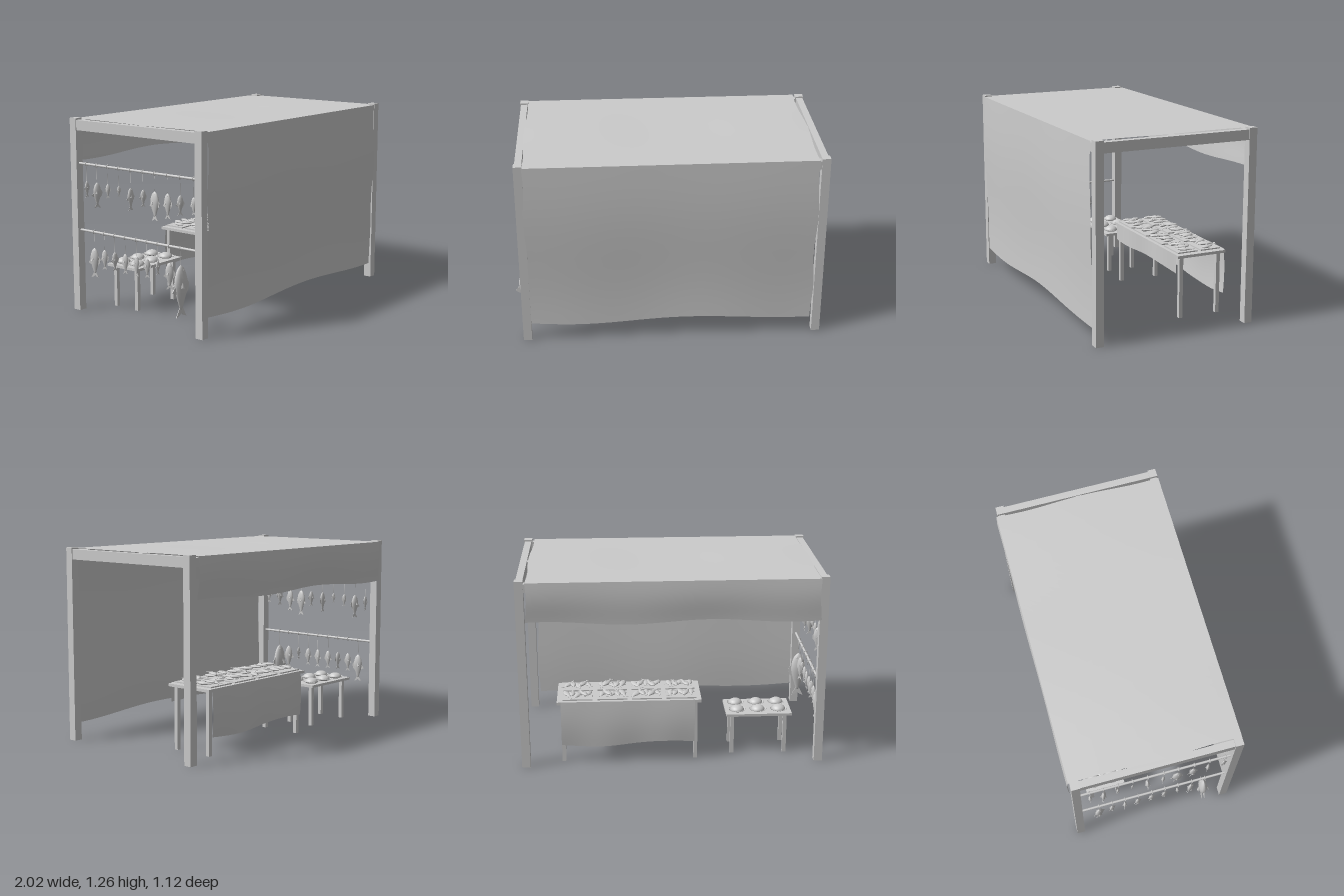
import * as THREE from 'three';
import { mergeVertices } from 'three/addons/utils/BufferGeometryUtils.js';

const grey = new THREE.MeshStandardMaterial({ color: 0xcccccc });
const thin = new THREE.MeshStandardMaterial({ color: 0xcccccc, side: THREE.DoubleSide });

function add(parent, name, geo, x = 0, y = 0, z = 0, mat = grey) {
  const m = new THREE.Mesh(geo, mat);
  m.name = name;
  m.position.set(x, y, z);
  parent.add(m);
  return m;
}
const box = (p, name, w, h, d, x, y, z) => add(p, name, new THREE.BoxGeometry(w, h, d), x, y, z);

// Cloth panel: place(u, v) gives the point at u across and v down
function cloth(parent, name, place) {
  const g = new THREE.PlaneGeometry(1, 1, 32, 16);
  const p = g.attributes.position, uv = g.attributes.uv;
  for (let i = 0; i < p.count; i++) p.setXYZ(i, ...place(uv.getX(i), 1 - uv.getY(i)));
  g.computeVertexNormals();
  return add(parent, name, g, 0, 0, 0, thin);
}

// Unit fish: nose at the origin, tail at y = -1, flat in the x direction
function fishParts() {
  const profile = [[0, 0], [0.055, -0.04], [0.11, -0.13], [0.15, -0.28], [0.15, -0.42],
    [0.11, -0.6], [0.06, -0.75], [0.035, -0.84], [0, -0.86]];
  const body = new THREE.LatheGeometry(
    new THREE.SplineCurve(profile.map(([r, y]) => new THREE.Vector2(r, y))).getPoints(14).reverse()
      .map(v => v.setX(Math.max(v.x, 0))), 12);
  body.scale(0.55, 1, 1);
  const fin = pts => {
    const s = new THREE.Shape(pts.map(([a, b]) => new THREE.Vector2(a, b)));
    return new THREE.ExtrudeGeometry(s, { depth: 0.014, bevelEnabled: false })
      .translate(0, 0, -0.007).rotateY(-Math.PI / 2);
  };
  return {
    body,
    tailFin: fin([[-0.03, -0.8], [-0.13, -1], [-0.05, -0.97], [0, -0.92], [0.05, -0.97], [0.13, -1], [0.03, -0.8]]),
    dorsalFin: fin([[0.12, -0.22], [0.21, -0.38], [0.19, -0.5], [0.09, -0.62]]),
    bellyFin: fin([[-0.13, -0.36], [-0.23, -0.5], [-0.17, -0.54], [-0.1, -0.56]]),
    sideFin: new THREE.ConeGeometry(0.05, 0.17, 4).scale(0.25, 1, 1).rotateX(0.3),
    eye: new THREE.SphereGeometry(0.018, 8, 6),
  };
}
const parts = fishParts();

function makeFish(name, length, plump = 1) {
  const f = new THREE.Group();
  f.name = name;
  add(f, 'fishBody', parts.body).scale.z = plump;
  for (const n of ['tailFin', 'dorsalFin', 'bellyFin']) add(f, n, parts[n], 0, 0, 0, thin);
  for (const s of [-1, 1]) {
    add(f, 'sideFin', parts.sideFin, s * 0.085, -0.35, -0.03).rotation.z = s * 0.35;
    add(f, 'eye', parts.eye, s * 0.042, -0.1, 0.03);
  }
  f.scale.setScalar(length);
  return f;
}

function table(parent, name, x0, x1, z0, z1, top, thick, leg, inset) {
  const t = new THREE.Group();
  t.name = name;
  parent.add(t);
  box(t, 'tableTop', x1 - x0, thick, z1 - z0, (x0 + x1) / 2, top - thick / 2, (z0 + z1) / 2);
  for (const x of [x0 + inset, x1 - inset])
    for (const z of [z0 + inset, z1 - inset])
      box(t, 'tableLeg', leg, top - thick, leg, x, (top - thick) / 2, z);
  return t;
}

export function createModel() {
  const model = new THREE.Group();
  model.name = 'marketStall';

  // Timber frame
  const frame = new THREE.Group();
  frame.name = 'frame';
  model.add(frame);
  const xL = -0.942, xR = 0.972, zP = 0.518;
  for (const x of [xL, xR]) {
    for (const z of [-zP, zP]) box(frame, 'post', 0.055, 1.26, 0.053, x, 0.63, z);
    box(frame, 'sideBeam', 0.045, 0.065, 1, x, 1.217, 0);
  }
  for (const z of [-zP, 0, zP]) box(frame, 'longBeam', 1.9, 0.055, 0.045, 0.015, 1.215, z);

  // Awning: roof, long front sheet and short back valance
  const awning = new THREE.Group();
  awning.name = 'awning';
  model.add(awning);
  const edge = (u, k) => -0.92 + 1.855 * u + (u > 0.5 ? -1 : 1) * 0.007 * Math.sin(k) * Math.abs(2 * u - 1) ** 6;
  cloth(awning, 'roofCloth', (u, v) =>
    [edge(u, v * 9), 1.252 + 0.003 * Math.sin(u * 9) * Math.sin(v * 3.14), -0.553 + 1.1 * v]);
  cloth(awning, 'frontCloth', (u, v) => {
    const low = 0.128 + 0.016 * Math.sin(u * 8 - 3.1) - 0.008 * u;
    return [edge(u, v * 14), 1.252 + (low - 1.252) * v,
      0.547 + 0.008 * Math.sin(v * 5.5) + 0.004 * Math.sin(u * 11) * v];
  });
  cloth(awning, 'backValance', (u, v) => {
    const low = 0.985 + 0.012 * Math.sin(u * 11 + 1);
    return [edge(1 - u, v * 4), 1.252 + (low - 1.252) * v,
      -0.553 - 0.006 * Math.sin(v * 4) + 0.004 * Math.sin(u * 12) * v];
  });

  // Poles with hanging fish: [z, length, turn, plumpness]
  const rows = [
    [0.97, 0.86, [[0.46, 0.11, 0.2], [0.355, 0.125, 1.0], [0.255, 0.16, 0.1], [0.15, 0.185, 0, 1.15],
      [0.055, 0.11, 1.0], [-0.05, 0.145, 1.5], [-0.15, 0.07, 0.9], [-0.245, 0.09, 0.7],
      [-0.34, 0.165, 1.1], [-0.43, 0.105, 1.5]]],
    [0.535, 0.43, [[0.355, 0.325, 1.5], [0.265, 0.17, 0.5], [0.17, 0.09, 1.5], [0.08, 0.125, 0.4],
      [-0.01, 0.13, 0.1], [-0.105, 0.13, 0.3], [-0.195, 0.125, 1.2], [-0.285, 0.13, 0.4],
      [-0.375, 0.195, 0.3]]],
  ];
  const ring = new THREE.TorusGeometry(0.011, 0.0035, 6, 12);
  for (const [poleY, topY, list] of rows) {
    const rack = new THREE.Group();
    rack.name = 'fishRack';
    model.add(rack);
    add(rack, 'pole', new THREE.CylinderGeometry(0.008, 0.008, 1, 12).rotateX(Math.PI / 2), xL, poleY, 0);
    for (const [z, length, turn, plump] of list) {
      add(rack, 'knot', ring, xL, poleY, z);
      const drop = poleY - topY;
      add(rack, 'string', new THREE.CylinderGeometry(0.0012, 0.0012, drop, 5), xL, poleY - drop / 2, z);
      const f = makeFish('hangingFish', length, plump);
      f.position.set(xL, topY, z);
      f.rotation.y = turn;
      rack.add(f);
    }
  }

  // Large table with its cloth
  const big = table(model, 'largeTable', -0.175, 0.765, -0.48, -0.135, 0.425, 0.018, 0.026, 0.038);
  cloth(big, 'tableClothBack', (u, v) =>
    [0.74 - 0.87 * u, 0.427 - (0.3 + 0.015 * Math.sin(u * 6)) * v, -0.483 - 0.008 * Math.sin(v * 3) + 0.003 * Math.sin(u * 14) * v]);
  cloth(big, 'tableClothFront', (u, v) =>
    [-0.13 + 0.87 * u, 0.427 - (0.115 + 0.007 * Math.sin(u * 8)) * v, -0.133 + 0.003 * Math.sin(u * 12) * v]);
  cloth(big, 'tableClothTop', (u, v) => [-0.13 + 0.87 * u, 0.428, -0.483 + 0.35 * v]);

  // Trays of fish lying on the large table
  for (let i = 0; i < 4; i++) for (let j = 0; j < 2; j++) {
    const x = -0.045 + i * 0.225, z = -0.39 + j * 0.165;
    box(big, 'tray', 0.195, 0.008, 0.14, x, 0.432, z);
    for (let k = 0; k < 5; k++) {
      const f = makeFish('trayFish', 0.105 + 0.012 * ((i + k) % 3), 1.1);
      const a = 0.5 * Math.sin(i * 5 + j * 3 + k * 2.3) + (k % 2) * Math.PI;
      const cx = x + (k - 2) * 0.034, cz = z + 0.012 * Math.sin(k * 4 + i);
      f.position.set(cx - 0.055 * Math.sin(a), 0.446 + (k % 2) * 0.008, cz + 0.055 * Math.cos(a));
      f.rotation.set(Math.PI / 2, 0, a, 'YXZ');
      // Lay the fish on its flank, pointing along the tray
      f.rotation.set(0, 0, 0);
      f.quaternion.setFromEuler(new THREE.Euler(0, -a, 0))
        .multiply(new THREE.Quaternion().setFromEuler(new THREE.Euler(Math.PI / 2, 0, 0)))
        .multiply(new THREE.Quaternion().setFromEuler(new THREE.Euler(0, Math.PI / 2, 0)));
      big.add(f);
    }
  }

  // Small table with round plates of food
  const small = table(model, 'smallTable', -0.78, -0.345, -0.42, -0.152, 0.29, 0.017, 0.025, 0.042);
  const plate = new THREE.LatheGeometry([[0, 0], [0.035, 0], [0.057, 0.01], [0.054, 0.012], [0.034, 0.004], [0, 0.004]]
    .map(([r, y]) => new THREE.Vector2(r, y)), 24);
  const mound = mergeVertices(new THREE.SphereGeometry(0.045, 20, 8, 0, Math.PI * 2, 0, Math.PI / 2).scale(1, 0.7, 1));
  for (let i = 0; i < 3; i++) for (const z of [-0.35, -0.225]) {
    const x = -0.7 + i * 0.138;
    add(small, 'plate', plate, x, 0.29, z, thin);
    add(small, 'foodMound', mound, x, 0.295, z);
  }
  return model;
}
